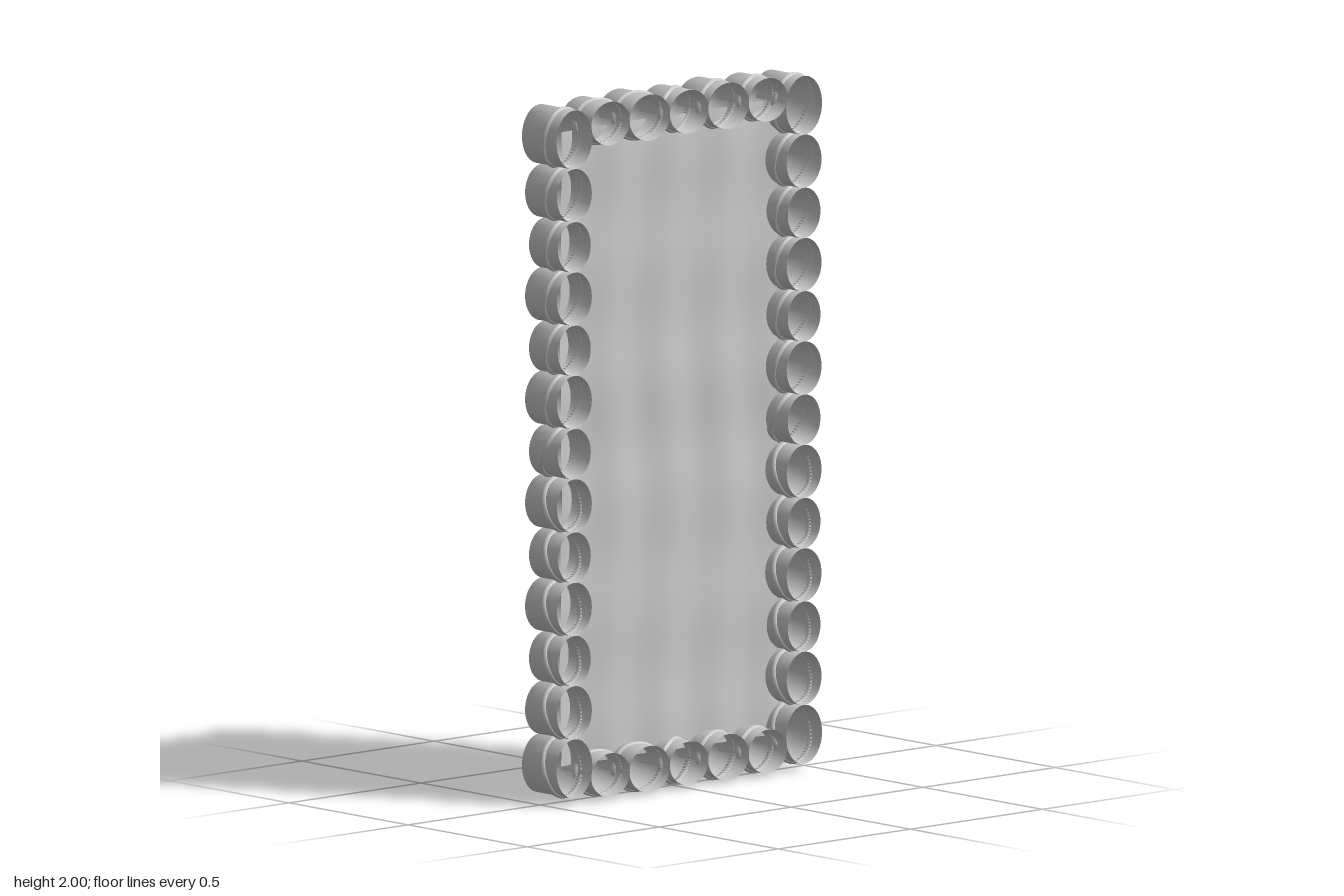
import * as THREE from 'three';

const material = new THREE.MeshStandardMaterial({ color: 0xcccccc, side: THREE.DoubleSide });

const FRONT = 0.072; // all cups share one front plane

function addMesh(parent, geometry, name) {
  const mesh = new THREE.Mesh(geometry, material);
  mesh.name = name;
  parent.add(mesh);
}

// Raised cord on the outside of an oval wall, drifting softly in depth
function makeCord(rx, ry, tilt) {
  const ease = (t) => Math.sin(t * Math.PI / 2);
  const points = [];
  for (let i = 0; i < 24; i++) {
    const a = (i / 24) * Math.PI * 2;
    const c = Math.cos(a), s = Math.sin(a);
    points.push(new THREE.Vector3(
      c * (rx - 0.005), s * (ry - 0.005), tilt.z + tilt.x * ease(c) + tilt.y * ease(s)));
  }
  const cord = new THREE.TubeGeometry(new THREE.CatmullRomCurve3(points, true), 48, 0.011, 10, true);

  // Press the inner half flat against the wall
  const p = cord.attributes.position;
  for (let i = 0; i < p.count; i++) {
    const k = Math.max(1, 1 / Math.hypot(p.getX(i) / rx, p.getY(i) / ry));
    p.setXY(i, p.getX(i) * k, p.getY(i) * k);
  }
  return cord;
}

// Oval cup, open to the front, with a softly shaded back
function makeCup(name, x, y, rx, ry, back, tilt) {
  const cup = new THREE.Group();
  cup.name = name;
  cup.position.set(x, y, 0);
  const profile = [[0, back], [1, back], [1, FRONT]].map(([r, z]) => new THREE.Vector2(r, z));
  const shell = new THREE.LatheGeometry(profile, 48);
  shell.rotateX(Math.PI / 2).scale(rx, ry, 1);
  addMesh(cup, shell, 'cupShell');
  addMesh(cup, makeCord(rx, ry, tilt), 'cord');
  return cup;
}

// Thin sheet with soft vertical folds and gentle dents
function makePanel() {
  const sheet = new THREE.PlaneGeometry(0.82, 1.81, 48, 80);
  sheet.translate(0, 1.003, 0);
  const p = sheet.attributes.position;
  for (let i = 0; i < p.count; i++) {
    const x = p.getX(i), y = p.getY(i);
    const folds = 0.006 * Math.cos(x * 30 + 0.5 * Math.sin(y * 6));
    const dents = 0.004 * Math.sin(x * 8 + y * 6) * Math.sin(y * 13 - x * 7);
    p.setZ(i, -0.018 + folds + dents);
  }
  sheet.computeVertexNormals();
  return sheet;
}

export function createModel() {
  const model = new THREE.Group();
  model.name = 'framedPanel';
  addMesh(model, makePanel(), 'panel');

  // Corner cups
  for (const sx of [-1, 1]) {
    for (const sy of [-1, 1]) {
      model.add(makeCup('cornerCup', sx * 0.435, 1.002 + sy * 0.897, 0.068, 0.084, -0.073,
        { x: 0, y: sy * 0.012, z: 0.016 }));
    }
  }

  // Side columns, alternating large and small cups
  for (const sx of [-1, 1]) {
    for (let i = -5; i <= 5; i++) {
      const large = Math.abs(i) % 2 === 1;
      const tilt = i === 0
        ? { x: 0, y: 0.024, z: 0.005 }
        : { x: 0, y: Math.sign(i) * 0.013, z: 0.018 };
      model.add(makeCup('sideCup', sx * 0.435, 1.002 + i * 0.1475,
        large ? 0.066 : 0.062, large ? 0.076 : 0.072, large ? -0.062 : -0.05, tilt));
    }
  }

  // Top and bottom rows
  for (const sy of [-1, 1]) {
    for (let i = -2; i <= 2; i++) {
      const large = Math.abs(i) === 1;
      const tilt = i === 0
        ? { x: -0.022, y: 0, z: 0.008 }
        : { x: -Math.sign(i) * 0.013, y: 0, z: 0.016 };
      model.add(makeCup(sy > 0 ? 'topCup' : 'bottomCup', i * 0.149, 1.001 + sy * 0.929,
        large ? 0.077 : 0.073, large ? 0.066 : 0.062, large ? -0.063 : -0.056, tilt));
    }
  }
  return model;
}
